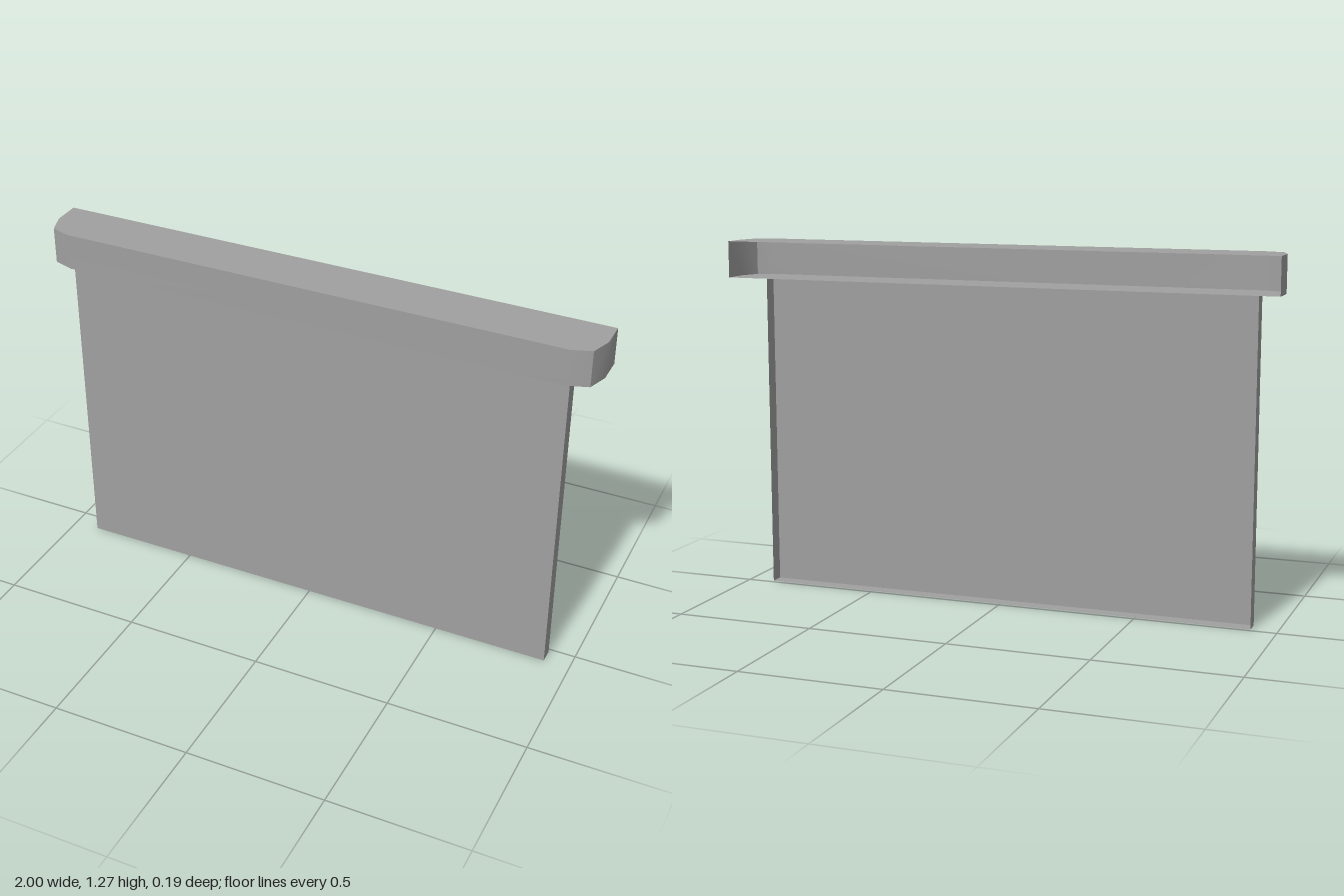
import * as THREE from 'three';
import { toCreasedNormals } from 'three/addons/utils/BufferGeometryUtils.js';

// Upright sheet following an open outline of [x, z] points, left to right
function wallGeometry(outline, y0, y1) {
  const positions = [], index = [];
  for (const [x, z] of outline) positions.push(x, y0, z, x, y1, z);
  for (let i = 0; i < outline.length - 1; i++) {
    const a = i * 2;
    index.push(a, a + 2, a + 3, a, a + 3, a + 1);
  }
  const geometry = new THREE.BufferGeometry();
  geometry.setAttribute('position', new THREE.Float32BufferAttribute(positions, 3));
  geometry.setIndex(index);
  return toCreasedNormals(geometry, 0.6);
}

// Level sheet filling the same outline
function plateGeometry(outline, y) {
  const shape = new THREE.Shape(outline.map(([x, z]) => new THREE.Vector2(x, -z)));
  return new THREE.ShapeGeometry(shape).rotateX(-Math.PI / 2).translate(0, y, 0);
}

// Mirror the right half of an outline (front to back) into a full one
function mirrored(half) {
  return [...half.map(([x, z]) => [-x, z]).reverse(), ...half];
}

export function createModel() {
  const model = new THREE.Group();
  const grey = new THREE.MeshStandardMaterial({ color: 0xa0a0a0, side: THREE.DoubleSide });
  grey.name = 'grey';

  const add = (name, geometry) => {
    const mesh = new THREE.Mesh(geometry, grey);
    mesh.name = name;
    model.add(mesh);
  };

  const joinY = 1.145, topY = 1.275;

  // Screen panel: a shallow tray, open at the back
  const panel = mirrored([[0.907, 0.065], [0.907, 0.014]]);
  add('panelWall', wallGeometry(panel, 0, joinY));
  add('panelBottom', plateGeometry(panel, 0));

  // Head casing: rounded front corners, open at the back
  const casing = mirrored([[0.905, 0.096], [0.975, 0.073], [1, 0], [1, -0.096]]);
  add('casingWall', wallGeometry(casing, joinY, topY));
  add('casingBottom', plateGeometry(casing, joinY));
  add('casingTop', plateGeometry(casing, topY));

  return model;
}
